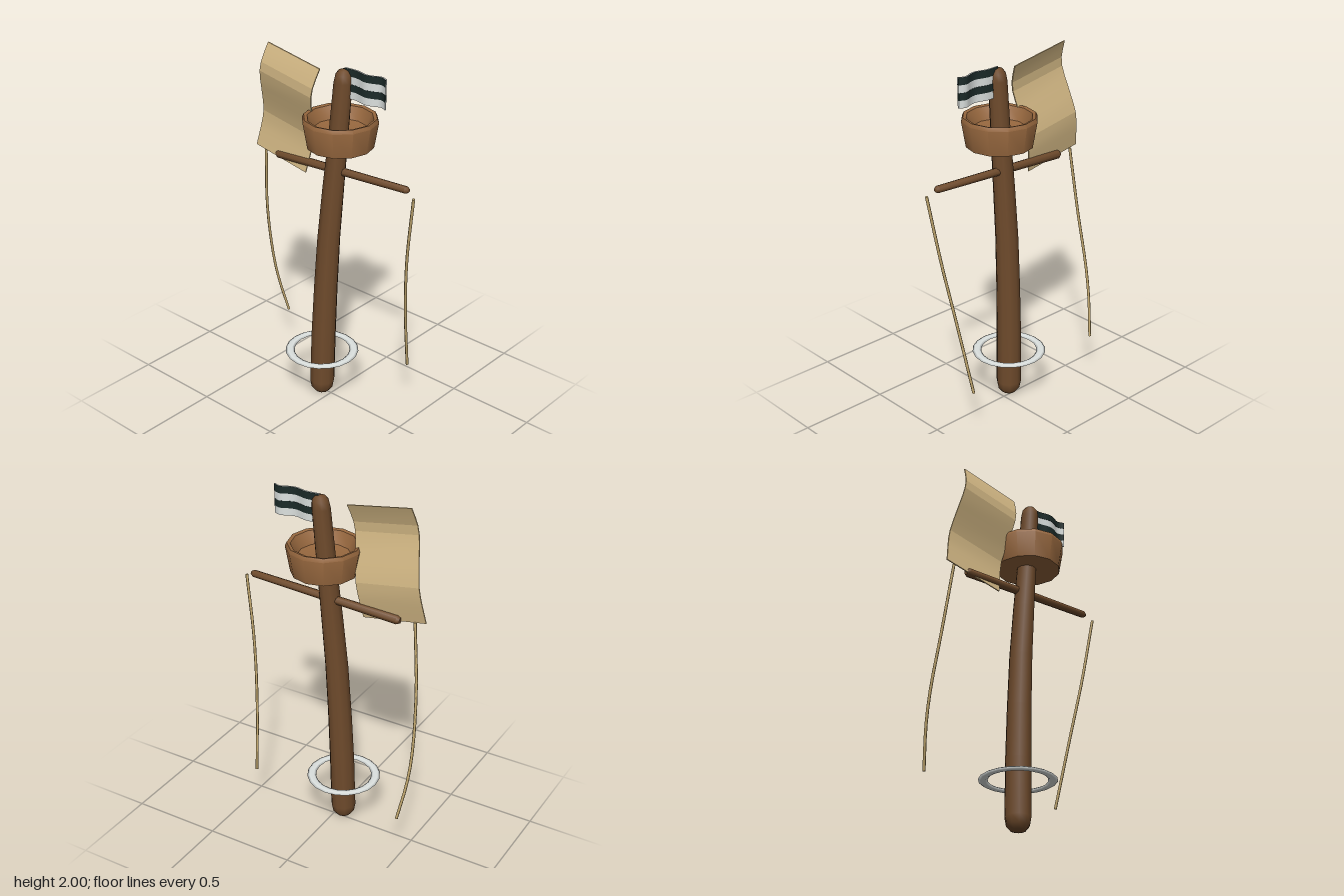
import * as THREE from 'three';
import { toCreasedNormals } from 'three/addons/utils/BufferGeometryUtils.js';

const mat = (name, color) => {
  const m = new THREE.MeshStandardMaterial({ color });
  m.name = name;
  return m;
};

const V = (x, y, z) => new THREE.Vector3(x, y, z);
const lathe = (pts, sides) =>
  new THREE.LatheGeometry(pts.map(([r, y]) => new THREE.Vector2(r, y)), sides);

// Move every vertex of a geometry by a rule
function bend(geo, rule) {
  const p = geo.attributes.position;
  const v = new THREE.Vector3();
  for (let i = 0; i < p.count; i++) {
    v.fromBufferAttribute(p, i);
    rule(v);
    p.setXYZ(i, v.x, v.y, v.z);
  }
  return geo;
}

// Smooth value of y at x along a few sorted [x, y] points
function smoothCurve(points) {
  const samples = new THREE.SplineCurve(points.map(([x, y]) => new THREE.Vector2(x, y))).getPoints(200);
  return x => {
    let i = 1;
    while (i < samples.length - 1 && samples[i].x < x) i++;
    const a = samples[i - 1], b = samples[i];
    const t = THREE.MathUtils.clamp((x - a.x) / (b.x - a.x), 0, 1);
    return a.y + (b.y - a.y) * t;
  };
}

export function createModel() {
  const model = new THREE.Group();
  const darkWood = mat('dark wood', 0x6f4b2c);
  const wood = mat('light wood', 0x96673e);
  const canvas = mat('canvas', 0xd2b784);
  const rope = mat('rope', 0xc2a870);
  const white = mat('white', 0xdde2e0);
  const black = mat('black', 0x1c2b29);

  const add = (name, geo, material) => {
    const mesh = new THREE.Mesh(geo, material);
    mesh.name = name;
    model.add(mesh);
    return mesh;
  };

  // Mast: tapered pole with rounded ends and a lean to one side
  const mastX = smoothCurve([[0, -0.053], [0.4, -0.046], [1, -0.018], [1.55, 0.033], [1.98, 0.07]]);
  const mast = lathe([
    [0, 0.005], [0.04, 0.018], [0.062, 0.045], [0.07, 0.09], [0.069, 0.4], [0.066, 0.7],
    [0.063, 1], [0.059, 1.3], [0.054, 1.55], [0.05, 1.9], [0.044, 1.94], [0.028, 1.962], [0, 1.97],
  ], 10);
  add('mast', bend(mast, v => {
    v.x += mastX(v.y);
    v.z += 0.017 - 0.02 * v.y;
  }), darkWood);

  // Lookout basket: bevelled rim and hollow inside
  const basket = lathe([
    [0, 1.55], [0.177, 1.55], [0.201, 1.69], [0.192, 1.71], [0.174, 1.705], [0.14, 1.64], [0, 1.61],
  ], 12);
  add('lookoutBasket', toCreasedNormals(basket, 0.6), wood).position.set(0.048, 0, -0.018);

  // Yard: thin crossbar with blunt pointed ends
  const from = V(-0.4, 1.378, -0.012), to = V(0.5, 1.428, -0.028);
  const length = from.distanceTo(to);
  const yard = add('yard', toCreasedNormals(lathe([
    [0, 0], [0.016, 0.002], [0.025, 0.018], [0.02, length - 0.02], [0.01, length - 0.004], [0, length],
  ], 8), 0.8), darkWood);
  yard.position.copy(from);
  yard.quaternion.setFromUnitVectors(V(0, 1, 0), to.clone().sub(from).normalize());

  // Loose sail: tilted cloth rippling along its height
  const sailWave = smoothCurve([[0, 0], [0.3, -0.026], [0.5, 0], [0.78, 0.042], [1, 0]]);
  const sailHeight = 0.614;
  const sailGeo = bend(new THREE.BoxGeometry(0.366, sailHeight, 0.007, 1, 12, 1), v => {
    v.z += sailWave(v.y / sailHeight + 0.5);
  });
  const sail = add('sail', toCreasedNormals(sailGeo, 0.12), canvas);
  sail.position.set(-0.307, 1.667, 0);
  sail.rotation.z = -0.169;

  // Flag: white cloth with two dark stripes, rippling along its width
  const flagWave = smoothCurve([
    [0.07, -0.027], [0.145, -0.032], [0.21, -0.017], [0.255, -0.026], [0.295, -0.043], [0.335, -0.028],
  ]);
  const ribbon = (y, height, depth) => {
    const geo = new THREE.BoxGeometry(0.264, height, depth, 14, 1, 1);
    geo.translate(0.203, y, 0);
    return toCreasedNormals(bend(geo, v => { v.z += flagWave(v.x); }), 0.6);
  };
  add('flag', ribbon(1.896, 0.16, 0.008), white);
  for (const y of [1.9555, 1.876]) add('flagStripe', ribbon(y, 0.039, 0.011), black);

  // Hanging ropes
  const ropes = {
    leftRope: [V(0.54, 1.4, -0.012), V(0.482, 1.02, -0.047), V(0.437, 0.68, -0.105), V(0.397, 0.28, -0.187)],
    rightRope: [V(-0.482, 1.39, -0.012), V(-0.52, 1.02, -0.047), V(-0.54, 0.68, -0.105),
      V(-0.533, 0.5, -0.14), V(-0.5, 0.28, -0.187)],
  };
  for (const [name, pts] of Object.entries(ropes)) {
    const path = new THREE.CatmullRomCurve3(pts);
    add(name, new THREE.TubeGeometry(path, 14, 0.008, 6), rope);
    // Closed rope ends
    for (const t of [0, 1]) {
      const cap = add(name + 'End', new THREE.CircleGeometry(0.008, 6), rope);
      cap.position.copy(path.getPoint(t));
      cap.quaternion.setFromUnitVectors(V(0, 0, 1), path.getTangent(t).multiplyScalar(t ? 1 : -1));
    }
  }

  // Foam ring: flattened hoop at the waterline
  const ring = new THREE.TorusGeometry(0.18, 0.025, 6, 20);
  ring.scale(1, 1, 0.36).rotateX(Math.PI / 2);
  add('foamRing', ring, white).position.set(-0.053, 0.285, 0.016);

  return model;
}
